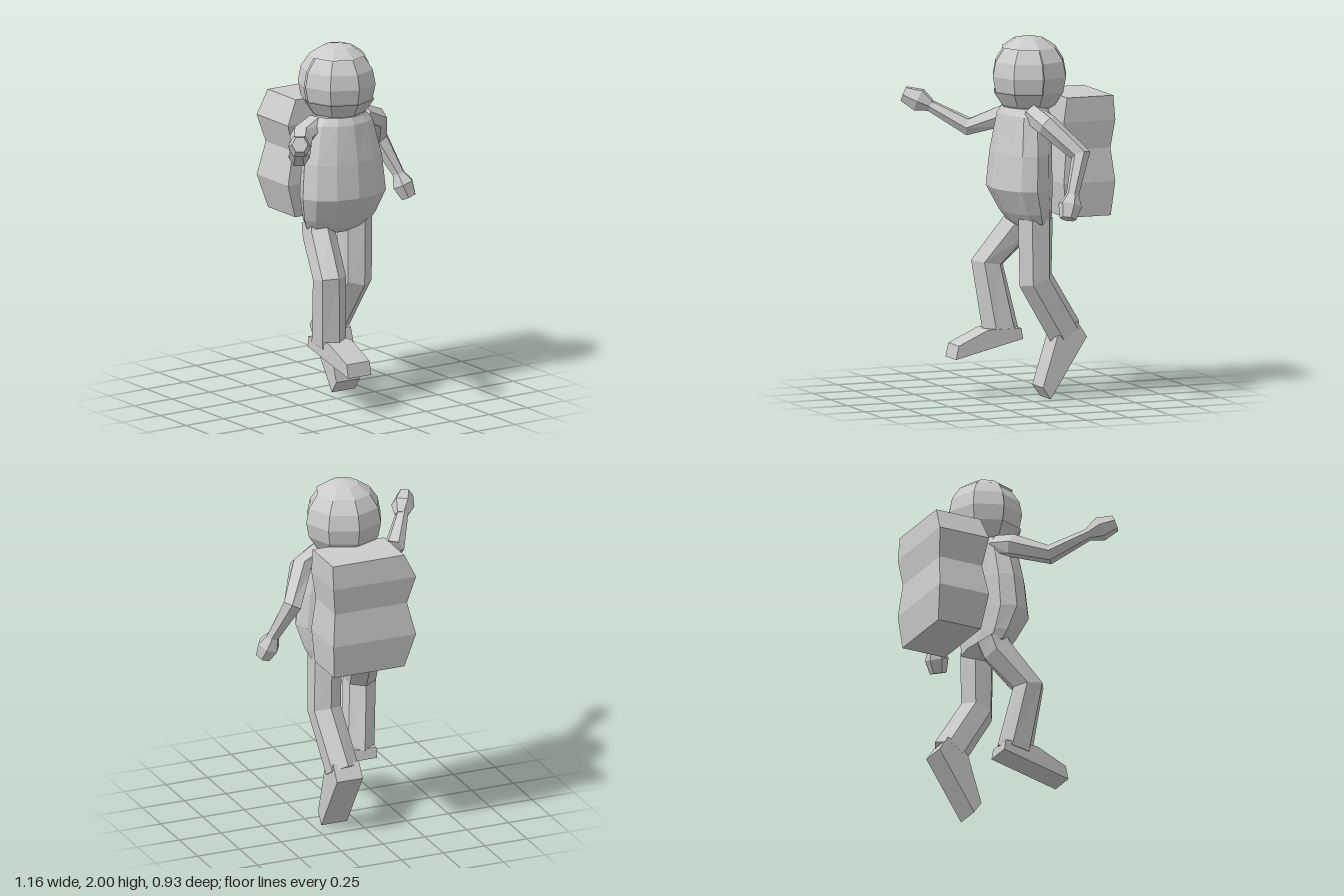
import * as THREE from 'three';

const mat = new THREE.MeshStandardMaterial({ color: 0xcccccc, flatShading: true, side: THREE.DoubleSide });
const V = (x, y, z) => new THREE.Vector3(x, y, z);

// Joins equal-sized rings of points into a closed, faceted solid
function loft(name, rings) {
  const pos = [];
  const tri = (a, b, c) => pos.push(...a.toArray(), ...b.toArray(), ...c.toArray());
  const n = rings[0].length;
  for (let i = 0; i < rings.length - 1; i++) {
    for (let j = 0; j < n; j++) {
      const k = (j + 1) % n, a = rings[i], b = rings[i + 1];
      tri(a[j], a[k], b[k]);
      tri(a[j], b[k], b[j]);
    }
  }
  const last = rings[rings.length - 1];
  const middle = (r) => r.reduce((s, p) => s.add(p), V(0, 0, 0)).divideScalar(n);
  const m0 = middle(rings[0]), m1 = middle(last);
  for (let j = 0; j < n; j++) {
    const k = (j + 1) % n;
    tri(m0, rings[0][k], rings[0][j]);
    tri(m1, last[j], last[k]);
  }
  // Turn the faces outward if the rings ran the other way
  let volume = 0;
  const at = (i) => V(pos[i], pos[i + 1], pos[i + 2]);
  for (let i = 0; i < pos.length; i += 9) volume += at(i).dot(at(i + 3).cross(at(i + 6)));
  if (volume < 0) {
    for (let i = 0; i < pos.length; i += 9) {
      for (let c = 0; c < 3; c++) [pos[i + 3 + c], pos[i + 6 + c]] = [pos[i + 6 + c], pos[i + 3 + c]];
    }
  }
  const geo = new THREE.BufferGeometry();
  geo.setAttribute('position', new THREE.Float32BufferAttribute(pos, 3));
  geo.computeVertexNormals();
  const mesh = new THREE.Mesh(geo, mat);
  mesh.name = name;
  return mesh;
}

// Limb along joints [x, y, z, half width, half depth]; width lies along the side axis
function limb(name, joints, side, sides = 6) {
  const pts = joints.map((j) => V(j[0], j[1], j[2]));
  const rings = pts.map((p, i) => {
    const dir = pts[Math.min(i + 1, pts.length - 1)].clone().sub(pts[Math.max(i - 1, 0)]).normalize();
    const u = side.clone().addScaledVector(dir, -side.dot(dir)).normalize();
    const w = dir.clone().cross(u);
    return Array.from({ length: sides }, (_, k) => {
      const a = ((k + 0.5) / sides) * Math.PI * 2;
      return p.clone().addScaledVector(u, Math.cos(a) * joints[i][3]).addScaledVector(w, Math.sin(a) * joints[i][4]);
    });
  });
  return loft(name, rings);
}

// Boot from a side outline of [z, y] points
function boot(name, x, w, outline) {
  const ring = (s, t) => outline.map(([z, y]) => V(x + s * t, y, z));
  return loft(name, [ring(-1, w), ring(1, w)]);
}

function helmet() {
  const g = new THREE.Group();
  g.name = 'helmet';
  const P = Math.PI;
  const part = (name, ...args) => {
    const m = new THREE.Mesh(new THREE.SphereGeometry(...args), mat);
    m.name = name;
    g.add(m);
  };
  part('helmetBack', 0.222, 4, 8, P, P, 0, P);
  part('helmetCap', 0.222, 4, 2, 0, P, 0, P / 4);
  part('helmetChin', 0.222, 4, 3, 0, P, P * 0.625, P * 0.375);
  part('visor', 0.212, 8, 8);
  g.position.set(0.043, 1.778, -0.055);
  return g;
}

function torso() {
  // [y, half width, front z, back z]
  const profile = [
    [0.94, 0.09, 0.0, -0.11], [0.975, 0.2, 0.05, -0.165], [1.03, 0.228, 0.09, -0.165],
    [1.165, 0.265, 0.165, -0.165], [1.36, 0.247, 0.145, -0.165],
    [1.57, 0.195, 0.11, -0.165], [1.61, 0.155, 0.09, -0.15],
  ];
  return loft('torso', profile.map(([y, rx, f, b]) =>
    Array.from({ length: 12 }, (_, k) => {
      const a = (k / 12) * Math.PI * 2;
      return V(0.04 + rx * Math.sin(a), y, (f + b) / 2 + ((f - b) / 2) * Math.cos(a));
    })));
}

function backpack() {
  // [y, right x, left x, back z, front z]
  const levels = [
    [1.01, -0.15, 0.27, -0.448, -0.185], [1.2, -0.21, 0.283, -0.47, -0.165],
    [1.385, -0.165, 0.265, -0.448, -0.185], [1.54, -0.21, 0.283, -0.47, -0.165],
    [1.675, -0.145, 0.283, -0.458, -0.185],
  ];
  return loft('backpack', levels.map(([y, r, l, b, f]) => [V(r, y, b), V(l, y, b), V(l, y, f), V(r, y, f)]));
}

export function createModel() {
  const model = new THREE.Group();
  model.name = 'spaceWalker';
  const X = V(1, 0, 0), Y = V(0, 1, 0), Z = V(0, 0, 1);
  model.add(helmet(), torso(), backpack());

  // Raised right arm and lowered left arm, each ending in a fist
  model.add(
    limb('rightArm', [
      [-0.1, 1.56, -0.05, 0.06, 0.065], [-0.22, 1.52, -0.02, 0.065, 0.065],
      [-0.345, 1.45, 0.14, 0.052, 0.058], [-0.475, 1.565, 0.325, 0.032, 0.035],
    ], Y),
    limb('rightHand', [
      [-0.465, 1.56, 0.315, 0.035, 0.035], [-0.5, 1.59, 0.37, 0.068, 0.064],
      [-0.545, 1.622, 0.44, 0.046, 0.044],
    ], Y),
    limb('leftArm', [
      [0.18, 1.58, -0.02, 0.06, 0.06], [0.3, 1.535, -0.06, 0.065, 0.06],
      [0.415, 1.375, -0.21, 0.055, 0.058], [0.5, 1.165, -0.125, 0.035, 0.035],
    ], Z),
    limb('leftHand', [
      [0.495, 1.175, -0.13, 0.035, 0.035], [0.512, 1.115, -0.107, 0.066, 0.064],
      [0.535, 1.045, -0.085, 0.046, 0.046],
    ], Z),
  );

  // Right leg steps forward, left leg trails behind
  model.add(
    limb('rightLeg', [
      [-0.075, 1.0, -0.07, 0.088, 0.1], [-0.085, 0.93, -0.045, 0.088, 0.1],
      [-0.13, 0.73, 0.12, 0.09, 0.095], [-0.09, 0.345, 0.055, 0.09, 0.105],
    ], X),
    boot('rightBoot', -0.087, 0.076, [[-0.045, 0.31], [-0.035, 0.37], [0.16, 0.37], [0.335, 0.29], [0.352, 0.215]]),
    limb('leftLeg', [
      [0.153, 1.0, -0.05, 0.092, 0.1], [0.153, 0.9, -0.05, 0.092, 0.1],
      [0.155, 0.66, -0.05, 0.092, 0.1], [0.128, 0.36, -0.235, 0.092, 0.1],
    ], X),
    boot('leftBoot', 0.126, 0.077, [[-0.335, 0.335], [-0.28, 0.42], [-0.16, 0.34], [-0.075, 0.065], [-0.12, 0.0]]),
  );
  return model;
}
